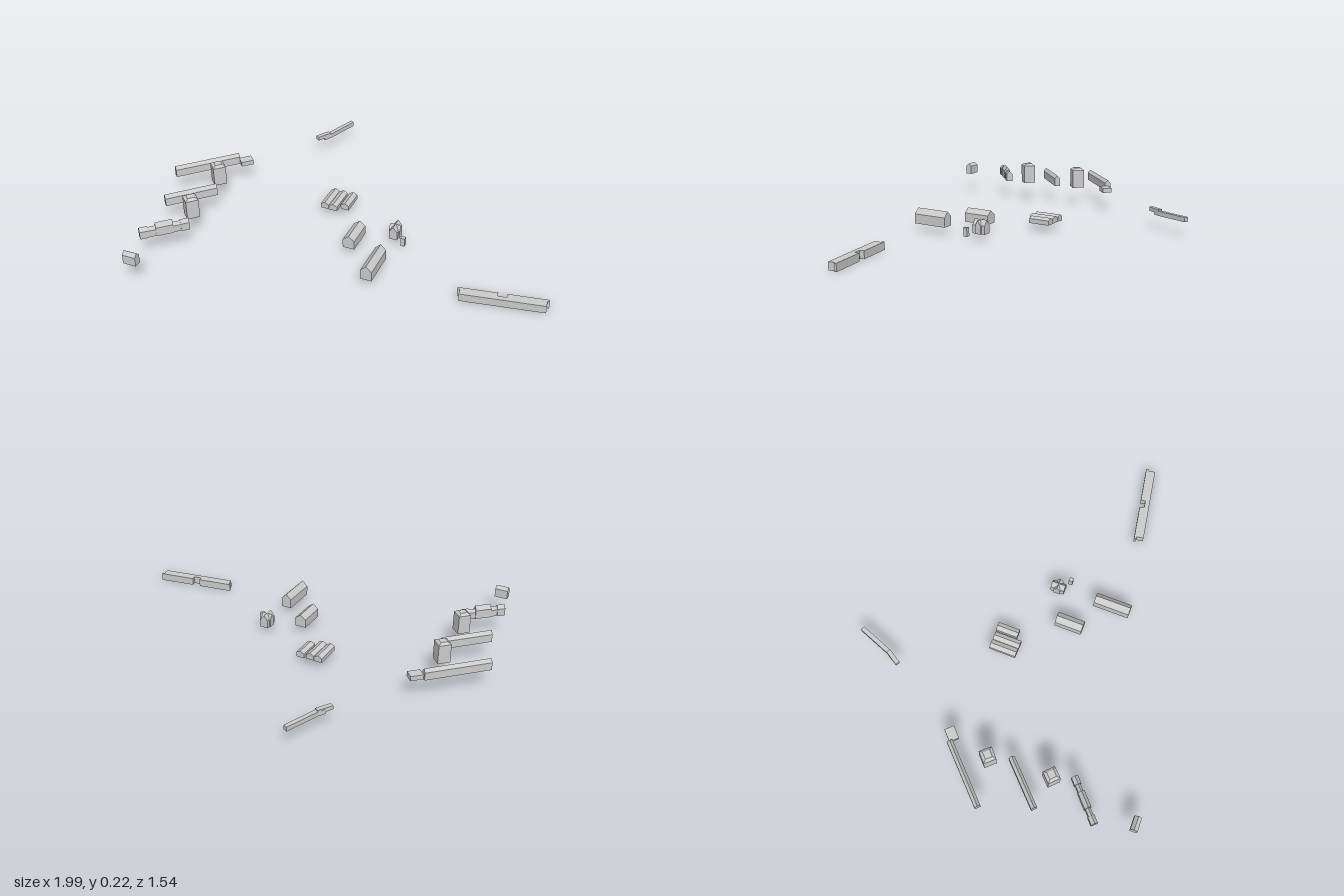
import * as THREE from 'three';

const material = new THREE.MeshStandardMaterial({ color: 0xcccccc, flatShading: true });

export function createModel() {
  const model = new THREE.Group();
  model.name = 'settlement';

  function add(name, geometry, x, y, z, degrees = 0, parent = model) {
    const mesh = new THREE.Mesh(geometry, material);
    mesh.name = name;
    mesh.position.set(x, y, z);
    mesh.rotation.y = THREE.MathUtils.degToRad(degrees);
    parent.add(mesh);
    return mesh;
  }

  // Gabled hall, long side along its own x axis
  function hall(name, x, z, length, width, base, eave, ridge, degrees, parent) {
    const w = width / 2;
    const gable = new THREE.Shape([
      new THREE.Vector2(-w, 0), new THREE.Vector2(w, 0),
      new THREE.Vector2(w, eave - base), new THREE.Vector2(0, ridge - base),
      new THREE.Vector2(-w, eave - base),
    ]);
    const geometry = new THREE.ExtrudeGeometry(gable, { depth: length, bevelEnabled: false });
    geometry.translate(0, 0, -length / 2).rotateY(Math.PI / 2);
    return add(name, geometry, x, base, z, degrees, parent);
  }

  function block(name, x, z, length, width, base, top, degrees) {
    return add(name, new THREE.BoxGeometry(length, top - base, width), x, (base + top) / 2, z, degrees);
  }

  // Ground plan in x and z, raised from base to top
  function slab(name, plan, base, top) {
    const shape = new THREE.Shape(plan.map(([x, z]) => new THREE.Vector2(x, -z)));
    const geometry = new THREE.ExtrudeGeometry(shape, { depth: top - base, bevelEnabled: false });
    add(name, geometry.rotateX(-Math.PI / 2), 0, base, 0);
  }

  // Square tower with a low tapered cap
  function tower(name, x, z, size, degrees) {
    const group = new THREE.Group();
    group.name = name;
    group.position.set(x, 0, z);
    group.rotation.y = THREE.MathUtils.degToRad(degrees);
    model.add(group);
    add('towerBody', new THREE.BoxGeometry(size, 0.1, size), 0, 0.155, 0, 0, group);
    const cap = new THREE.CylinderGeometry(0.55 * size / Math.SQRT2, size / Math.SQRT2, 0.011, 4);
    add('towerCap', cap.rotateY(Math.PI / 4), 0, 0.2105, 0, 0, group);
  }

  // Long flat building with a notched back
  slab('longBuilding', [
    [0.576, 0.506], [0.763, 0.506], [0.763, 0.53], [0.805, 0.53], [0.805, 0.506],
    [0.998, 0.506], [0.998, 0.518], [0.987, 0.518], [0.987, 0.555],
    [0.587, 0.555], [0.587, 0.518], [0.576, 0.518],
  ].reverse(), 0, 0.04);

  // Central halls
  hall('frontHall', 0.168, 0.457, 0.187, 0.056, 0.04, 0.09, 0.118, 80);
  hall('middleHall', 0.03, 0.259, 0.142, 0.06, 0.04, 0.086, 0.109, 80);

  // House with crossing roofs and its outhouse
  hall('crossHouseMain', 0.218, 0.166, 0.072, 0.042, 0.032, 0.075, 0.103, 80);
  hall('crossHouseWing', 0.218, 0.166, 0.056, 0.034, 0.032, 0.075, 0.1, -10);
  block('outhouse', 0.267, 0.223, 0.021, 0.021, 0.022, 0.067, -10);

  // Row of low sheds
  [[-0.166, -0.045, 0.14], [-0.121, -0.036, 0.14], [-0.066, -0.043, 0.115]].forEach(([x, z, length], i) =>
    hall('shed' + (i + 1), x, z, length, 0.044, 0.038, 0.062, 0.073, 80));

  // Bent wall at the back, its near end higher
  slab('wallNearEnd', [[-0.371, -0.552], [-0.354, -0.537], [-0.3, -0.598], [-0.318, -0.612]], 0.087, 0.108);
  slab('wallFarEnd', [
    [-0.345, -0.583], [-0.328, -0.567], [-0.3, -0.598],
    [-0.206, -0.757], [-0.224, -0.77], [-0.318, -0.612],
  ], 0.076, 0.1);

  // Three long ranges on the left with two towers between them
  hall('backRange', -0.846, -0.099, 0.345, 0.03, 0.106, 0.147, 0.164, 35);
  block('backAnnex', -0.665, -0.198, 0.066, 0.05, 0.106, 0.131, 34);
  tower('backTower', -0.749, 0.0, 0.065, 33);
  hall('middleRange', -0.833, 0.187, 0.267, 0.03, 0.106, 0.148, 0.166, 35);
  tower('frontTower', -0.782, 0.315, 0.064, 36);

  // Front range: narrow links between taller pavilions
  const range = new THREE.Group();
  range.name = 'frontRange';
  range.position.set(-0.857, 0, 0.489);
  range.rotation.y = THREE.MathUtils.degToRad(33);
  model.add(range);
  hall('rangeLink', 0, 0, 0.24, 0.026, 0.108, 0.144, 0.16, 0, range);
  hall('middlePavilion', 0, 0, 0.085, 0.034, 0.108, 0.155, 0.178, 0, range);
  for (const side of [-1, 1]) {
    hall('endPavilion', side * 0.1, 0, 0.042, 0.034, 0.108, 0.148, 0.166, 0, range);
  }

  // Small hut in the front left corner
  hall('hut', -0.919, 0.745, 0.068, 0.036, 0.108, 0.155, 0.171, -9);

  return model;
}
